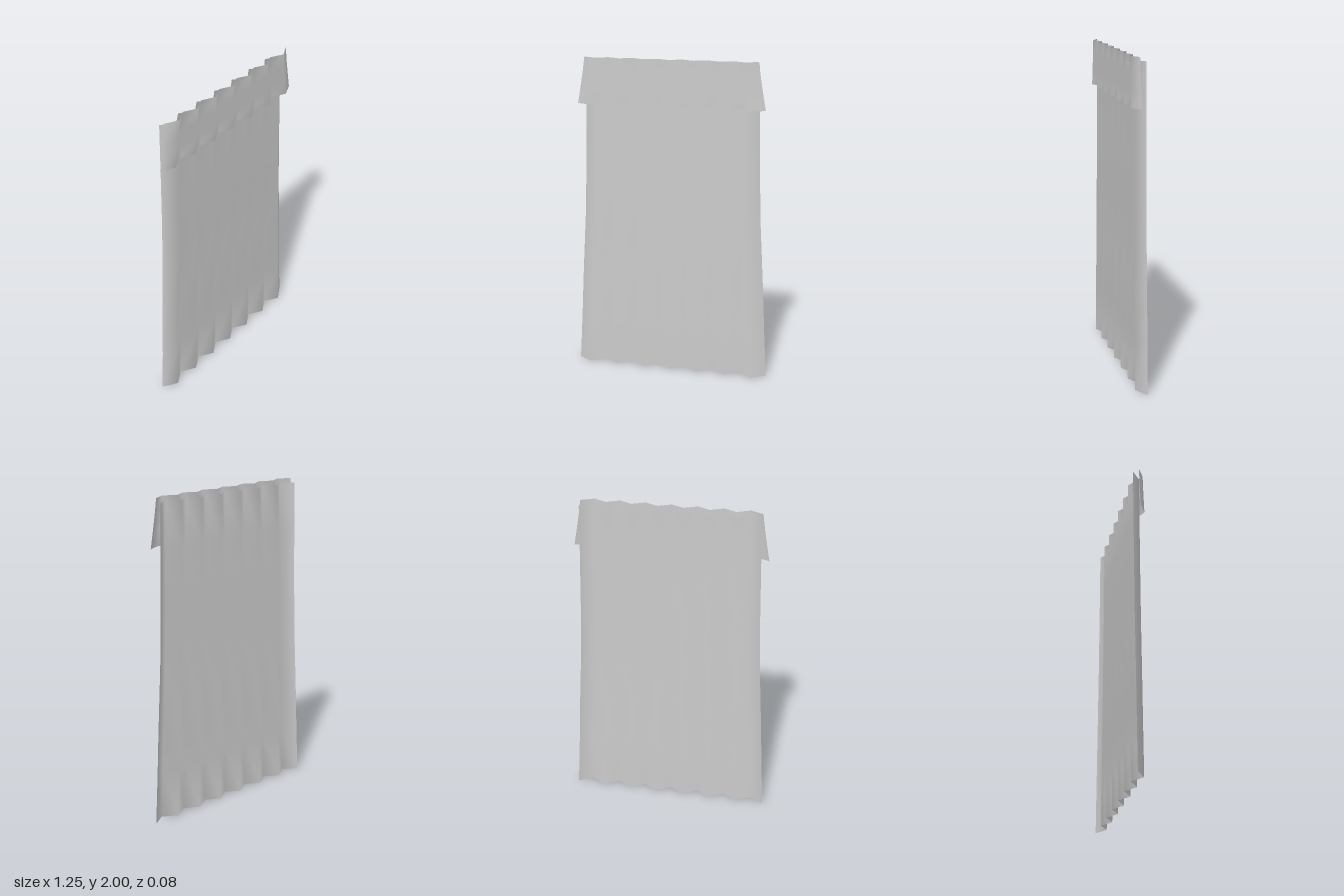
import * as THREE from 'three';

const FOLDS = 14; // straight fold faces across each cloth

// Pleated cloth: rows are [y, half width]; pleats zigzag between zBack and zFront
function pleatedCloth(name, rows, zBack, zFront, material) {
  const positions = [], indices = [];
  const stride = FOLDS + 1;
  rows.forEach(([y, halfWidth], r) => {
    for (let i = 0; i <= FOLDS; i++) {
      const x = (i / FOLDS * 2 - 1) * halfWidth;
      positions.push(x, y, i % 2 ? zFront : zBack);
      if (r > 0 && i < FOLDS) {
        const c = r * stride + i, a = c - stride;
        indices.push(a, c, a + 1, c, c + 1, a + 1);
      }
    }
  });
  const geometry = new THREE.BufferGeometry();
  geometry.setAttribute('position', new THREE.Float32BufferAttribute(positions, 3));
  geometry.setIndex(indices);
  geometry.computeVertexNormals(); // soft folds
  const mesh = new THREE.Mesh(geometry, material);
  mesh.name = name;
  return mesh;
}

export function createModel() {
  const group = new THREE.Group();
  group.name = 'curtain';
  const cloth = new THREE.MeshStandardMaterial({ color: 0xcccccc, side: THREE.DoubleSide });

  // Long drape, flaring towards the floor
  const drapeRows = [[1.975, 0.545], [1.7, 0.55], [1.35, 0.558], [1, 0.57], [0.6, 0.593], [0.3, 0.608], [0, 0.625]];
  group.add(pleatedCloth('drape', drapeRows, -0.04, 0.015, cloth));

  // Short valance hanging in front of the top
  const valanceRows = [[2, 0.546], [1.9, 0.56], [1.8, 0.577], [1.71, 0.593]];
  group.add(pleatedCloth('valance', valanceRows, -0.003, 0.038, cloth));

  return group;
}
